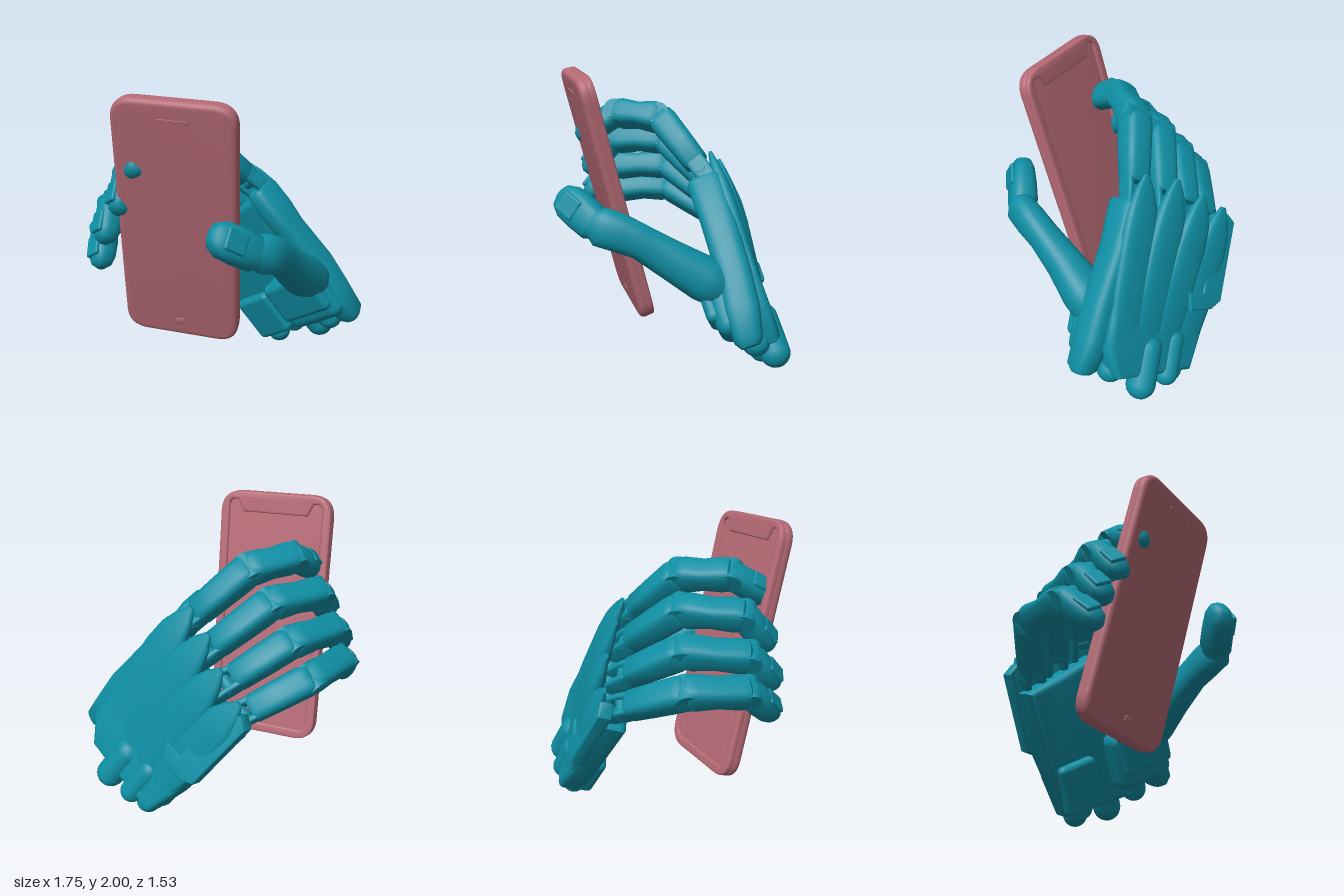
import * as THREE from 'three';
import { toCreasedNormals } from 'three/addons/utils/BufferGeometryUtils.js';
import { RoundedBoxGeometry } from 'three/addons/geometries/RoundedBoxGeometry.js';

const V = (x, y, z) => new THREE.Vector3(x, y, z);
const teal = new THREE.MeshStandardMaterial({ color: 0x0f8ea3 });
const rose = new THREE.MeshStandardMaterial({ color: 0xb56a75 });

function add(parent, name, geometry, material, pos) {
  const mesh = new THREE.Mesh(geometry, material);
  mesh.name = name;
  if (pos) mesh.position.copy(pos);
  parent.add(mesh);
  return mesh;
}

// Closed skin over sections [centre, half width, half height], squarish when power > 2
function loft(sections, side, power = 3.4, n = 28) {
  const pos = [], index = [], last = sections.length - 1;
  sections.forEach(([c, w, h], i) => {
    const d = sections[Math.min(i + 1, last)][0].clone().sub(sections[Math.max(i - 1, 0)][0]).normalize();
    const s = side.clone().addScaledVector(d, -side.dot(d)).normalize();
    const v = d.clone().cross(s);
    for (let j = 0; j < n; j++) {
      const t = (j / n) * Math.PI * 2, x = Math.cos(t), y = Math.sin(t);
      const round = (k) => Math.sign(k) * Math.abs(k) ** (2 / power);
      const p = c.clone().addScaledVector(s, round(x) * w).addScaledVector(v, round(y) * h);
      pos.push(p.x, p.y, p.z);
      const k = i * n + j, m = i * n + ((j + 1) % n);
      if (i < last) index.push(k, m, m + n, k, m + n, k + n);
    }
  });
  const a = pos.length / 3;
  for (const i of [0, last]) pos.push(...sections[i][0].toArray());
  for (let j = 0; j < n; j++) {
    const k = (j + 1) % n;
    index.push(a, k, j, a + 1, last * n + j, last * n + k);
  }
  const g = new THREE.BufferGeometry();
  g.setAttribute('position', new THREE.Float32BufferAttribute(pos, 3));
  g.setIndex(index);
  return toCreasedNormals(g, 0.75);
}

// Straight part from p to q; profile rows are [fraction, half width, half height]
const part = (p, q, side, profile, power) =>
  loft(profile.map(([t, w, h]) => [p.clone().lerp(q, t), w, h]), side, power);

function rod(parent, name, p, q, r) {
  const d = q.clone().sub(p);
  const m = add(parent, name, new THREE.CylinderGeometry(r, r, d.length(), 20), teal, p.clone().lerp(q, 0.5));
  m.quaternion.setFromUnitVectors(V(0, 1, 0), d.normalize());
}

// Thin plate on the given side of a fingertip
function nail(parent, p, q, side, w, lift) {
  const d = q.clone().sub(p).normalize();
  const s = side.clone().addScaledVector(d, -side.dot(d)).normalize();
  const v = d.clone().cross(s);
  const m = add(parent, 'nailPlate', new RoundedBoxGeometry(w, 0.15, 0.03, 3, 0.014), teal,
    p.clone().lerp(q, 0.68).addScaledVector(v, lift));
  m.quaternion.setFromRotationMatrix(new THREE.Matrix4().makeBasis(s, d, v.negate()));
}

function finger(name, [a, b, c, d]) {
  const g = new THREE.Group();
  g.name = name;
  const side = c.clone().sub(b).cross(d.clone().sub(c)).normalize();
  add(g, 'proximalSegment', part(a, b, side, [
    [0.1, 0.07, 0.06], [0.16, 0.09, 0.085], [0.5, 0.096, 0.092], [0.9, 0.1, 0.098], [1.0, 0.092, 0.09], [1.05, 0.07, 0.06]]), teal);
  add(g, 'middleSegment', part(b, c, side, [
    [-0.1, 0.06, 0.06], [0, 0.09, 0.09], [0.15, 0.098, 0.1], [0.5, 0.092, 0.082], [0.85, 0.097, 0.095], [0.98, 0.09, 0.088], [1.03, 0.06, 0.06]]), teal);
  add(g, 'fingertip', part(c, d, side, [
    [-0.1, 0.07, 0.07], [0.12, 0.082, 0.088], [0.5, 0.088, 0.088], [0.85, 0.084, 0.08], [1.05, 0.068, 0.062], [1.15, 0.035, 0.03]], 2.6), teal);
  nail(g, c, d, side, 0.11, 0.078);
  // Hinge pins and the two lugs that reach back into the palm
  const pin = (p, r, w) => rod(g, 'hingePin', p.clone().addScaledVector(side, -w), p.clone().addScaledVector(side, w), r);
  pin(a, 0.04, 0.085);
  pin(b, 0.075, 0.088);
  pin(c, 0.07, 0.084);
  for (const s of [-1, 1]) {
    const o = side.clone().multiplyScalar(s * 0.062);
    add(g, 'knuckleLug', part(a.clone().add(o), b.clone().add(o), side,
      [[-0.3, 0.018, 0.05], [0, 0.022, 0.065], [0.22, 0.022, 0.06]], 4), teal);
  }
  return g;
}

function roundRect(w, h, r) {
  const s = new THREE.Shape(), x = w / 2, y = h / 2;
  s.moveTo(-x + r, -y).lineTo(x - r, -y).quadraticCurveTo(x, -y, x, -y + r);
  s.lineTo(x, y - r).quadraticCurveTo(x, y, x - r, y).lineTo(-x + r, y);
  s.quadraticCurveTo(-x, y, -x, y - r).lineTo(-x, -y + r).quadraticCurveTo(-x, -y, -x + r, -y);
  return s;
}

const polygon = (points) => new THREE.Shape(points.map(([x, y]) => new THREE.Vector2(x, y)));

function extrude(shape, depth, bevel) {
  return toCreasedNormals(new THREE.ExtrudeGeometry(shape, {
    depth, bevelThickness: bevel, bevelSize: bevel, bevelOffset: -bevel, bevelSegments: 5, curveSegments: 12,
  }), 0.7);
}

function phone() {
  const g = new THREE.Group();
  g.name = 'phone';
  add(g, 'body', extrude(roundRect(0.79, 1.7, 0.15), 0.016, 0.034), rose);
  // Raised rim with a notch, around the recessed panel on the rear
  const rim = roundRect(0.785, 1.695, 0.15), hole = new THREE.Path();
  hole.moveTo(-0.27, -0.78).lineTo(0.27, -0.78).quadraticCurveTo(0.33, -0.78, 0.33, -0.72);
  hole.lineTo(0.33, 0.74).quadraticCurveTo(0.33, 0.79, 0.29, 0.79).lineTo(0.27, 0.79);
  hole.lineTo(0.23, 0.71).lineTo(-0.23, 0.71).lineTo(-0.27, 0.79).lineTo(-0.29, 0.79);
  hole.quadraticCurveTo(-0.33, 0.79, -0.33, 0.74).lineTo(-0.33, -0.72).quadraticCurveTo(-0.33, -0.78, -0.27, -0.78);
  rim.holes.push(hole);
  add(g, 'rearRim', extrude(rim, 0.025, 0.014), rose, V(0, 0, -0.038));
  add(g, 'earpiece', extrude(roundRect(0.2, 0.024, 0.011), 0.006, 0.003), rose, V(0, 0.73, 0.047));
  add(g, 'homeMark', extrude(roundRect(0.07, 0.05, 0.02), 0.005, 0.003), rose, V(0, -0.73, 0.047));
  const w = V(1, -0.06, -0.14).normalize();
  const u = V(0.092, 0.966, 0.242);
  u.addScaledVector(w, -u.dot(w)).normalize();
  g.quaternion.setFromRotationMatrix(new THREE.Matrix4().makeBasis(w, u, w.clone().cross(u)));
  g.position.set(-0.15, 1.16, 0.4);
  return g;
}

// Palm in its own frame: x across the knuckles, y towards the fingers, z out of the palm
function palm() {
  const g = new THREE.Group();
  g.name = 'palm';
  const outline = polygon([
    [0.42, -0.03], [0.43, -0.7], [0.42, -0.95], [0.27, -1.14], [0, -1.12],
    [-0.37, -1.08], [-0.42, -0.8], [-0.45, -0.17], [-0.2, -0.13], [0.15, -0.06]]);
  add(g, 'palmBody', extrude(outline, 0.1, 0.045), teal, V(0, 0, -0.055));
  // Ridges that rise out of the back, each ending in a point above its knuckle
  for (const [x, y, z] of [[-0.34, 0.06, -0.15], [-0.11, 0.11, -0.16], [0.12, 0.18, -0.13], [0.35, 0.17, -0.08]])
    add(g, 'knuckleRidge', part(V(x * 0.8, -0.9, -0.065), V(x, y, z), V(1, 0, 0), [
      [0, 0.12, 0.03], [0.3, 0.14, 0.045], [0.65, 0.135, 0.055], [0.8, 0.115, 0.05], [0.92, 0.07, 0.03], [1, 0.02, 0.012]], 2.8), teal);
  // Thumb side edge, swinging forward towards the wrist
  add(g, 'thumbSideEdge', loft([
    [V(0.45, -1.14, 0.1), 0.05, 0.06], [V(0.45, -1.1, 0.1), 0.085, 0.09], [V(0.43, -0.9, 0.075), 0.1, 0.115],
    [V(0.43, -0.68, 0.045), 0.1, 0.11], [V(0.4, -0.3, 0.025), 0.08, 0.115], [V(0.39, -0.03, 0.02), 0.075, 0.12], [V(0.39, 0, 0.02), 0.06, 0.1]],
  V(1, 0, 0), 3), teal);
  // Raised guard on the little finger side
  const guard = polygon([
    [-0.2, -0.66], [-0.15, -0.54], [-0.29, -0.53], [-0.28, -0.1], [-0.4, 0.02], [-0.48, -0.03], [-0.48, -0.58], [-0.4, -0.64]]);
  add(g, 'outerGuard', extrude(guard, 0.07, 0.012), teal, V(0, 0, -0.145));
  // Thumb mount and heel
  add(g, 'thumbMount', new RoundedBoxGeometry(0.46, 0.42, 0.28, 4, 0.08), teal, V(0.27, -0.83, 0.12));
  add(g, 'thumbMountPlate', new RoundedBoxGeometry(0.42, 0.32, 0.1, 4, 0.045), teal, V(0.27, -0.77, 0.25));
  add(g, 'heelPad', new RoundedBoxGeometry(0.3, 0.36, 0.12, 4, 0.04), teal, V(-0.23, -0.9, 0.09));
  // Rounded wrist lobes: end position and radius
  for (const [x, y, z, r] of [[-0.28, -1.1, 0.03, 0.085], [-0.17, -1.11, -0.05, 0.08], [0.04, -1.18, -0.04, 0.1], [0.24, -1.1, 0.06, 0.09]])
    add(g, 'wristLobe', new THREE.CapsuleGeometry(r, 0.24, 8, 20), teal, V(x, y + 0.12, z));
  const f = V(-0.54, 0.81, 0.24).normalize(), n = V(-0.08, -0.333, 0.94);
  n.addScaledVector(f, -n.dot(f)).normalize();
  g.quaternion.setFromRotationMatrix(new THREE.Matrix4().makeBasis(f.clone().cross(n), f, n));
  g.position.set(-0.16, 1.12, -0.33);
  return g;
}

function thumb() {
  const g = new THREE.Group();
  g.name = 'thumb';
  const side = V(0, 0.85, -0.5);
  add(g, 'thumbSegment', loft([
    [V(0.55, 0.64, -0.31), 0.08, 0.08], [V(0.54, 0.67, -0.26), 0.13, 0.14], [V(0.52, 0.73, -0.16), 0.145, 0.148],
    [V(0.495, 0.85, 0.04), 0.125, 0.118], [V(0.485, 0.97, 0.23), 0.11, 0.1], [V(0.475, 1.03, 0.36), 0.122, 0.098],
    [V(0.455, 1.07, 0.48), 0.125, 0.088], [V(0.43, 1.09, 0.53), 0.08, 0.06]], side, 2.3), teal);
  const p = V(0.42, 1.06, 0.49), q = V(0.23, 1.21, 0.69);
  add(g, 'thumbTip', part(p, q, side, [
    [-0.05, 0.08, 0.08], [0.1, 0.115, 0.095], [0.5, 0.12, 0.09], [0.85, 0.115, 0.08], [1.05, 0.085, 0.06], [1.13, 0.04, 0.03]], 2.6), teal);
  nail(g, p, q, side, 0.14, -0.083);
  // Collar where the thumb enters its mount
  add(g, 'thumbCollar', part(V(0.54, 0.55, -0.4), V(0.52, 0.66, -0.25), side, [[0, 0.15, 0.15], [0.7, 0.165, 0.165], [0.85, 0.15, 0.15]], 2.2), teal);
  return g;
}

export function createModel() {
  const root = new THREE.Group();
  root.name = 'handHoldingPhone';
  const hand = new THREE.Group();
  hand.name = 'mechanicalHand';
  // Joints from knuckle to tip
  const joints = {
    indexFinger: [V(0.1, 1.34, -0.22), V(-0.19, 1.66, 0.02), V(-0.36, 1.68, 0.31), V(-0.385, 1.53, 0.55)],
    middleFinger: [V(-0.09, 1.2, -0.31), V(-0.38, 1.49, -0.03), V(-0.55, 1.47, 0.33), V(-0.52, 1.26, 0.5)],
    ringFinger: [V(-0.27, 1.05, -0.37), V(-0.55, 1.28, -0.07), V(-0.68, 1.25, 0.32), V(-0.64, 1.05, 0.49)],
    littleFinger: [V(-0.42, 0.9, -0.42), V(-0.71, 1.08, -0.1), V(-0.77, 1.06, 0.28), V(-0.69, 0.87, 0.47)],
  };
  for (const [name, pts] of Object.entries(joints)) hand.add(finger(name, pts));
  hand.add(palm(), thumb());
  root.add(hand, phone());
  return root;
}
